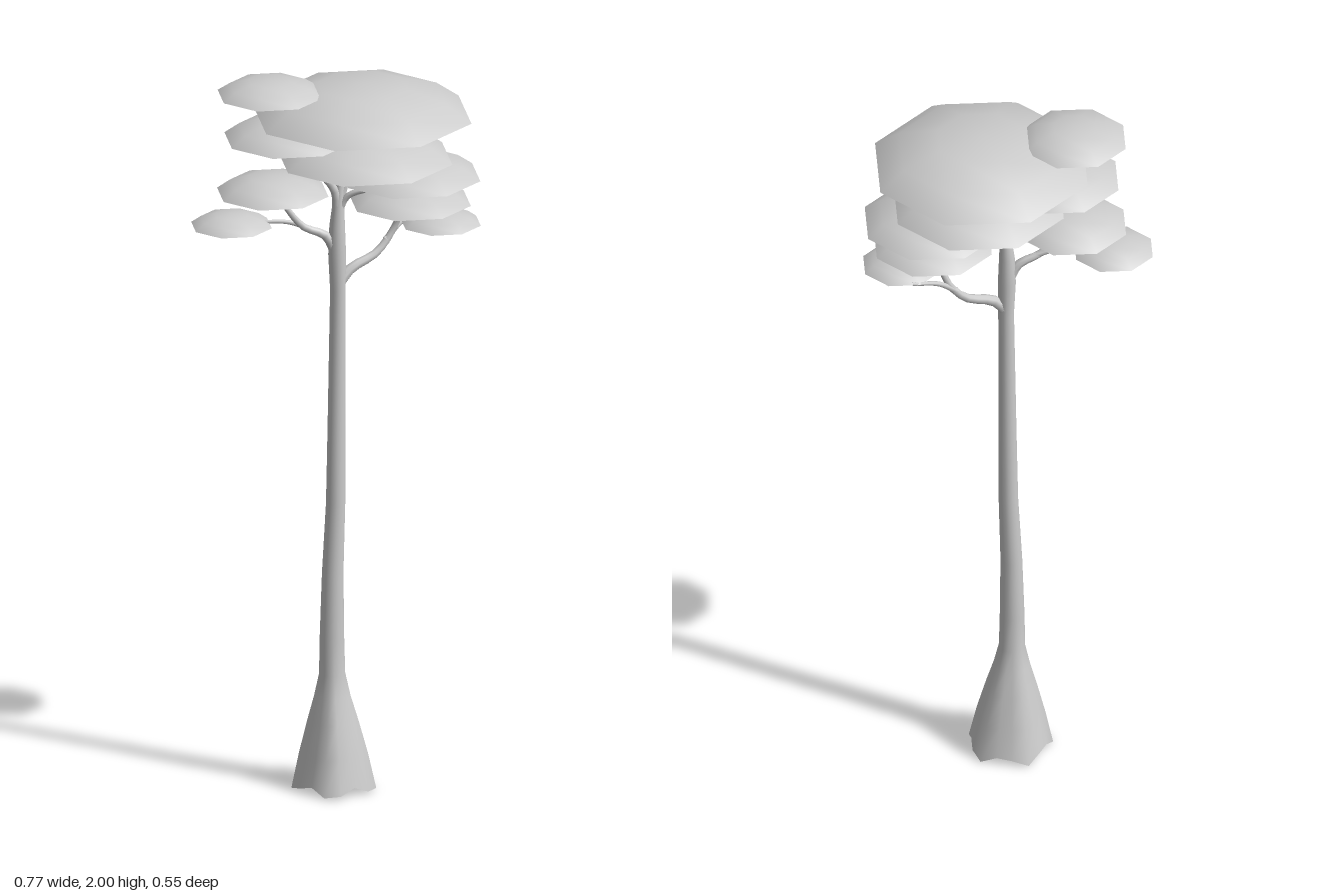
import * as THREE from 'three';
import { mergeVertices } from 'three/addons/utils/BufferGeometryUtils.js';

const material = new THREE.MeshStandardMaterial({ color: 0xcccccc, side: THREE.DoubleSide });

// Weld seams so the normals run smoothly all the way round
function smooth(geometry) {
  geometry.deleteAttribute('uv');
  geometry.deleteAttribute('normal');
  const welded = mergeVertices(geometry, 1e-5);
  welded.computeVertexNormals();
  return welded;
}

function addPart(group, name, geometry) {
  const mesh = new THREE.Mesh(geometry, material);
  mesh.name = name;
  group.add(mesh);
  return mesh;
}

// Trunk: rings of [y, centre x, radius, lobe depth], from top to bottom
function trunkGeometry() {
  const rings = [
    [1.71, 0.012, 0.009, 0], [1.66, 0.006, 0.014, 0], [1.58, 0.002, 0.021, 0],
    [1.5, 0.002, 0.024, 0], [1.4, 0.004, 0.021, 0], [1.0, 0, 0.024, 0],
    [0.8, -0.002, 0.026, 0], [0.6, -0.01, 0.029, 0], [0.42, -0.012, 0.033, 0],
    [0.32, -0.011, 0.035, 0.02], [0.26, -0.01, 0.047, 0.06],
    [0.19, -0.008, 0.065, 0.09], [0.1, -0.006, 0.088, 0.08], [0.012, -0.005, 0.109, 0.07],
  ];
  const sides = 16;
  const g = new THREE.CylinderGeometry(1, 1, 1, sides, rings.length - 1, true);
  const p = g.attributes.position;
  for (let i = 0; i < p.count; i++) {
    const row = Math.floor(i / (sides + 1));
    const [y, cx, r, lobe] = rings[row];
    const a = ((i % (sides + 1)) % sides) / sides * Math.PI * 2;
    const wave = Math.cos(5 * a + 1.2);
    const radius = r * (1 + lobe * wave);
    const dip = row === rings.length - 1 ? 0.012 * wave : 0;
    p.setXYZ(i, cx + Math.sin(a) * radius, y - dip, Math.cos(a) * radius);
  }
  return smooth(g);
}

// Branch: tube along a curve that narrows from r0 to r1
function branchGeometry(points, r0, r1) {
  const curve = new THREE.CatmullRomCurve3(points.map((q) => new THREE.Vector3(...q)));
  const steps = 12, sides = 8;
  const g = new THREE.TubeGeometry(curve, steps, 1, sides, false);
  const p = g.attributes.position;
  const v = new THREE.Vector3();
  for (let i = 0; i < p.count; i++) {
    const t = Math.floor(i / (sides + 1)) / steps;
    const centre = curve.getPointAt(t);
    v.fromBufferAttribute(p, i).sub(centre);
    v.multiplyScalar(THREE.MathUtils.lerp(r0, r1, Math.sqrt(t))).add(centre);
    p.setXYZ(i, v.x, v.y, v.z);
  }
  return smooth(g);
}

// Leaf cap: shallow, hollow eight-sided dome of unit width and height
function capGeometry() {
  const corner = 1 / Math.cos(Math.PI / 8);
  const profile = [[1, 0], [0.77, 0.55], [0.41, 0.93], [0, 1]];
  const points = profile.map(([r, y]) => new THREE.Vector2(r * corner, y));
  return smooth(new THREE.LatheGeometry(points, 8, Math.PI / 8));
}

export function createModel() {
  const tree = new THREE.Group();
  tree.name = 'tree';
  addPart(tree, 'trunk', trunkGeometry());

  // Branches: name, path, start radius, end radius
  const branches = [
    ['lowerLeftBranch', [[0.0, 1.41, 0], [0.04, 1.452, -0.012], [0.115, 1.485, -0.04], [0.165, 1.55, -0.055], [0.19, 1.645, -0.03]], 0.02, 0.007],
    ['lowerLeftTwig', [[0.14, 1.515, -0.05], [0.19, 1.557, -0.075], [0.26, 1.576, -0.1]], 0.01, 0.005],
    ['lowerRightBranch', [[0.002, 1.5, 0], [-0.03, 1.555, 0.005], [-0.09, 1.585, 0.012], [-0.135, 1.64, 0.02], [-0.165, 1.69, 0.02]], 0.019, 0.006],
    ['lowerRightTwig', [[-0.07, 1.577, 0.01], [-0.13, 1.598, 0.005], [-0.25, 1.6, 0]], 0.009, 0.004],
    ['upperRightBranch', [[0.003, 1.61, 0], [-0.005, 1.68, 0.005], [-0.055, 1.745, 0.012], [-0.13, 1.845, 0.01]], 0.017, 0.006],
    ['upperRightTwig', [[-0.055, 1.745, 0.012], [-0.085, 1.79, 0.03], [-0.1, 1.845, 0.04]], 0.008, 0.004],
    ['crownBranch', [[0.008, 1.64, 0], [0.03, 1.71, -0.005], [0.045, 1.75, 0], [0.065, 1.8, 0]], 0.013, 0.006],
    ['upperLeftBranch', [[0.005, 1.62, 0], [0.03, 1.665, 0.008], [0.09, 1.69, 0.03], [0.16, 1.715, 0.035]], 0.013, 0.005],
  ];
  for (const [name, points, r0, r1] of branches) {
    addPart(tree, name, branchGeometry(points, r0, r1));
  }

  // Leaf caps: centre x, base y, half width, height
  const cap = capGeometry();
  const caps = [
    [-0.178, 1.96, 0.133, 0.04],
    [0.07, 1.888, 0.276, 0.089],
    [-0.128, 1.835, 0.163, 0.053],
    [0.077, 1.767, 0.221, 0.072],
    [0.198, 1.71, 0.178, 0.057],
    [-0.171, 1.683, 0.141, 0.047],
    [0.199, 1.638, 0.153, 0.049],
    [-0.282, 1.596, 0.102, 0.033],
    [0.281, 1.573, 0.101, 0.033],
  ];
  caps.forEach(([x, y, r, h], i) => {
    const mesh = addPart(tree, `leafCap${i + 1}`, cap);
    mesh.position.set(x, y, 0);
    mesh.scale.set(r, h, r);
  });
  return tree;
}
